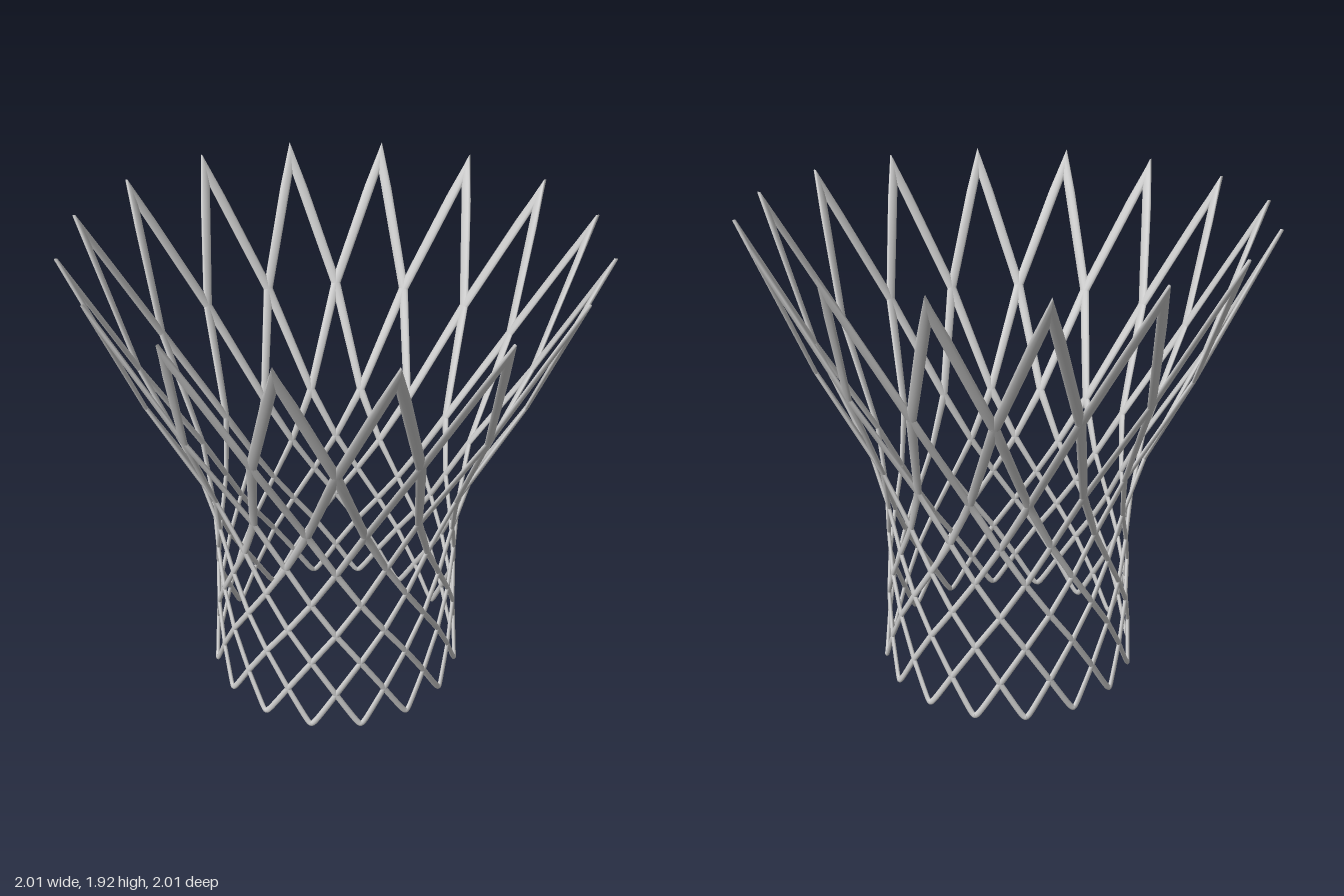
import * as THREE from 'three';

const COUNT = 16;                    // tips around the rim
const SIDES = 10;                    // sides of a strut's section
const TOP = 1.925;
const STEP = Math.PI / COUNT;        // turn between two rows of crossings

// Crossing rows from bottom to top: [radius, height]
const ROWS = [[0.522, -0.007], [0.507, 0.165], [0.5, 0.32], [0.494, 0.46], [0.491, 0.605],
  [0.499, 0.765], [0.552, 0.975], [0.755, 1.38], [0.977, 1.88]];
const LAST = ROWS.length - 1;

// Radius and height of the wall at row position u
function wall(u) {
  const i = THREE.MathUtils.clamp(Math.floor(u), 0, LAST - 1);
  const [r0, y0] = ROWS[i], [r1, y1] = ROWS[i + 1];
  return new THREE.Vector2(THREE.MathUtils.lerp(r0, r1, u - i), THREE.MathUtils.lerp(y0, y1, u - i));
}

function crossing(row, hand) {
  const a = hand * row * STEP, [r, y] = ROWS[row];
  return new THREE.Vector3(r * Math.sin(a), y, r * Math.cos(a));
}

// Straight runs from crossing to crossing, eased into a round bend at the bottom
function onStrut(u, hand) {
  const i = THREE.MathUtils.clamp(Math.floor(u), 0, LAST - 1);
  const p = crossing(i, hand).lerp(crossing(i + 1, hand), u - i);
  if (u < 1) p.y = wall(Math.sqrt(u * u + 0.0144 * (1 - u))).y;
  return p;
}

// One flattened strut winding up the wall, mitred where it meets its mirror twin
function strutGeometry(hand) {
  const stations = [0, 0.04, 0.08, 0.13, 0.2, 0.3, 0.45, 0.7];
  for (let u = 1; u <= LAST; u += 0.25) stations.push(u);
  const positions = [], index = [];
  const e = 0.001;

  stations.forEach((u, i) => {
    const lo = Math.max(u - e, 0), hi = Math.min(u + e, LAST);
    const centre = onStrut(u, hand);
    const a = Math.atan2(centre.x, centre.z);
    const radial = new THREE.Vector3(Math.sin(a), 0, Math.cos(a));
    const around = new THREE.Vector3(Math.cos(a), 0, -Math.sin(a));
    const t = u === 0
      ? around.clone().multiplyScalar(hand)
      : onStrut(hi, hand).sub(onStrut(lo, hand)).normalize();
    const d = wall(hi).sub(wall(lo)).normalize();
    const slope = radial.clone().multiplyScalar(d.x).setY(d.y);
    const n = radial.clone().multiplyScalar(d.y).setY(-d.x);
    const b = t.clone().cross(n).normalize();
    const halfWidth = 0.012 + 0.0095 * THREE.MathUtils.smoothstep(u, 4, LAST);
    const halfDepth = 0.008;

    for (let k = 0; k < SIDES; k++) {
      const q = (k / SIDES) * Math.PI * 2;
      const p = centre.clone()
        .addScaledVector(n, Math.cos(q) * halfDepth)
        .addScaledVector(b, Math.sin(q) * halfWidth);
      if (u === LAST) {
        // slide onto the mitre plane, then blunt the point at the rim
        const off = p.clone().sub(centre).dot(around);
        p.addScaledVector(t, -off / t.dot(around));
        if (p.y > TOP) p.addScaledVector(slope, (TOP - p.y) / slope.y);
      }
      positions.push(p.x, p.y, p.z);
      if (i > 0) {
        const k2 = (k + 1) % SIDES, below = (i - 1) * SIDES, here = i * SIDES;
        index.push(below + k, below + k2, here + k, below + k2, here + k2, here + k);
      }
    }
  });

  const g = new THREE.BufferGeometry();
  g.setAttribute('position', new THREE.Float32BufferAttribute(positions, 3));
  g.setIndex(index);
  g.computeVertexNormals();
  return g;
}

export function createModel() {
  const model = new THREE.Group();
  model.name = 'flaredLatticeFrame';
  const material = new THREE.MeshStandardMaterial({ color: 0xcccccc, side: THREE.DoubleSide });

  // Two opposite-handed families of struts make the diamond lattice
  for (const [hand, name] of [[1, 'leftwardStruts'], [-1, 'rightwardStruts']]) {
    const family = new THREE.Group();
    family.name = name;
    const geometry = strutGeometry(hand);
    for (let i = 0; i < COUNT; i++) {
      const strut = new THREE.Mesh(geometry, material);
      strut.name = 'strut';
      strut.rotation.y = i * 2 * STEP;
      family.add(strut);
    }
    model.add(family);
  }
  return model;
}
